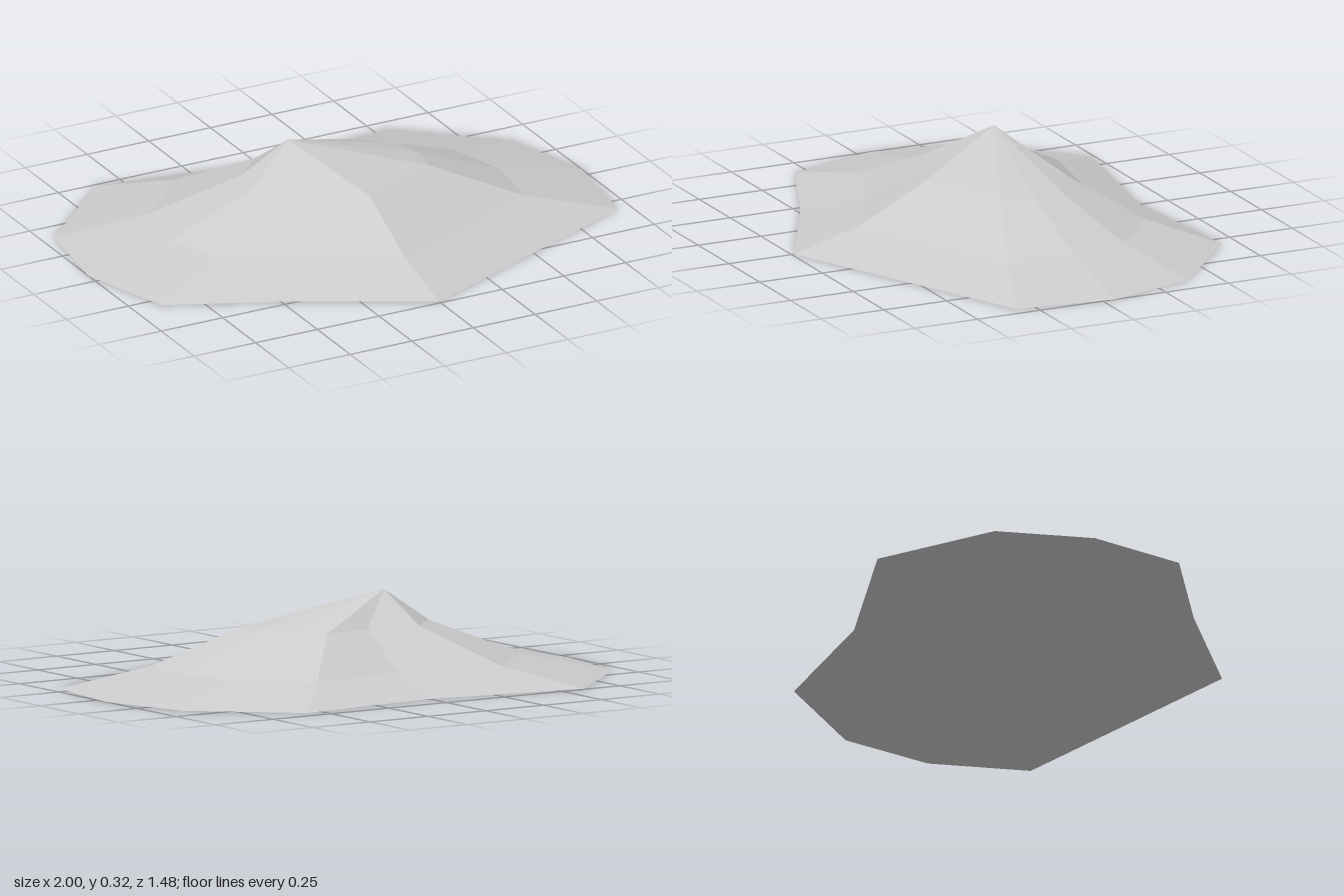
import * as THREE from 'three';

export function createModel() {
  const group = new THREE.Group();
  group.name = 'hill';
  const stone = new THREE.MeshStandardMaterial({ color: 0xcccccc, flatShading: true });
  stone.name = 'light grey';

  // Ground outline (x, z), counter-clockwise seen from above
  const outline = [
    [0, 0.74], [0.95, 0.32], [1, -0.05], [0.9, -0.39], [0.56, -0.69], [0, -0.64],
    [-0.6, -0.74], [-0.95, -0.41], [-1, -0.05], [-0.89, 0.3], [-0.46, 0.49],
  ];
  const centreZ = -0.05;
  const apex = [-0.15, 0.325, -0.13];

  // Each terrace is the outline shrunk towards the centre and raised
  const ring = (scale, y) => outline.map(([x, z]) => [x * scale, y, centreZ + (z - centreZ) * scale]);
  const rings = [ring(1, 0), ring(2 / 3, 0.072), ring(1 / 3, 0.206)];

  const makeMesh = (name, triangles) => {
    const geometry = new THREE.BufferGeometry();
    geometry.setAttribute('position', new THREE.Float32BufferAttribute(triangles.flat(2), 3));
    geometry.computeVertexNormals();
    const mesh = new THREE.Mesh(geometry, stone);
    mesh.name = name;
    group.add(mesh);
  };

  const lower = [], upper = [], peak = [], base = [];
  outline.forEach((_, i) => {
    const j = (i + 1) % outline.length;
    [lower, upper].forEach((band, k) => {
      const a = rings[k], b = rings[k + 1];
      band.push([a[i], a[j], b[j]], [a[i], b[j], b[i]]);
    });
    peak.push([rings[2][i], rings[2][j], apex]);
    base.push([rings[0][j], rings[0][i], [0, 0, centreZ]]);
  });

  makeMesh('lowerSlope', lower);
  makeMesh('upperSlope', upper);
  makeMesh('peak', peak);
  makeMesh('base', base);
  return group;
}
